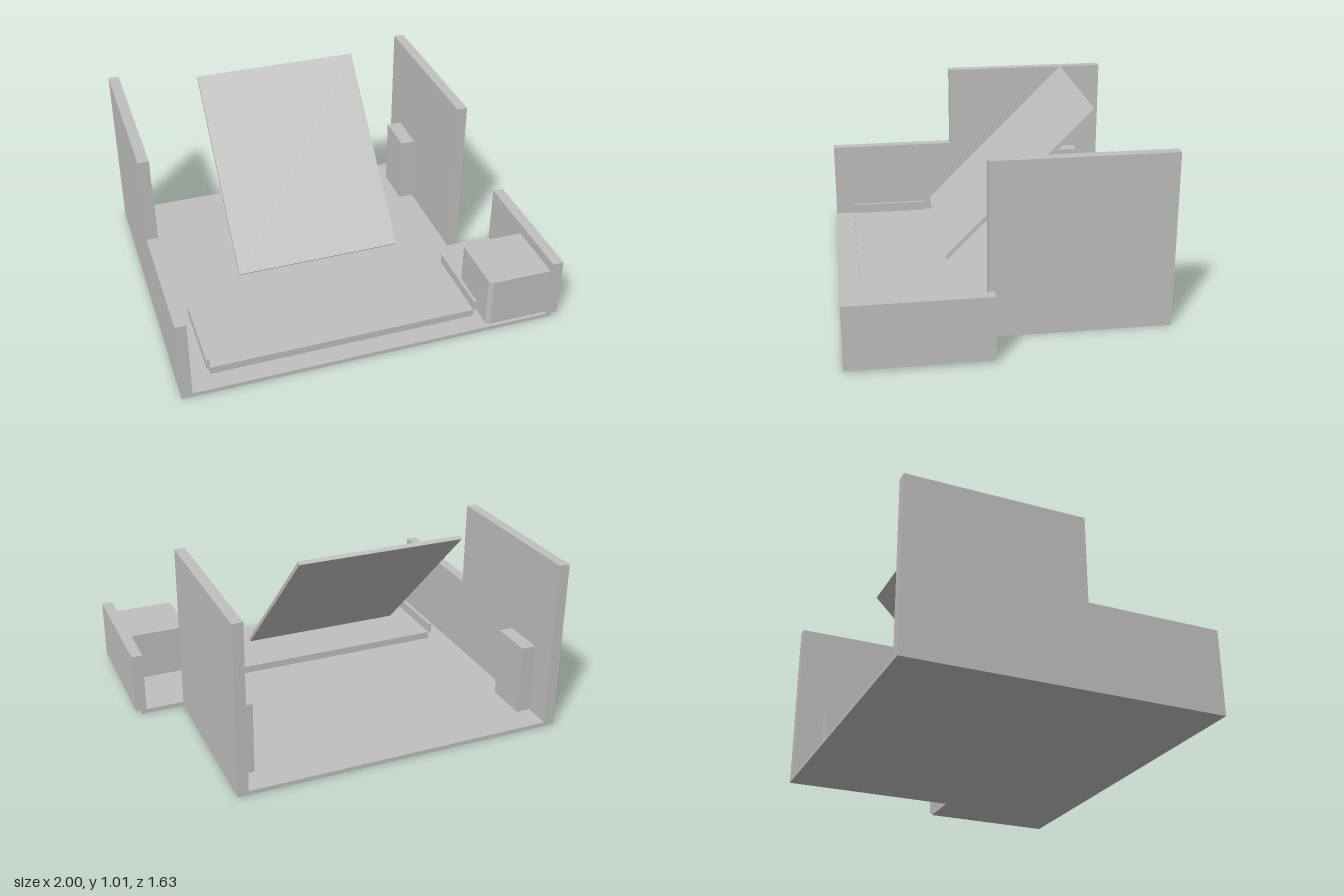
import * as THREE from 'three';

export function createModel() {
  const model = new THREE.Group();
  const grey = new THREE.MeshStandardMaterial({ color: 0xbfbfbf });
  grey.name = 'plain grey';

  function add(name, geometry) {
    const mesh = new THREE.Mesh(geometry, grey);
    mesh.name = name;
    model.add(mesh);
    return mesh;
  }

  // Box given by its limits on each axis
  function box(name, [x0, x1], [y0, y1], [z0, z1]) {
    const mesh = add(name, new THREE.BoxGeometry(x1 - x0, y1 - y0, z1 - z0));
    mesh.position.set((x0 + x1) / 2, (y0 + y1) / 2, (z0 + z1) / 2);
    return mesh;
  }

  const outline = (points) => new THREE.Shape(points.map(([a, b]) => new THREE.Vector2(a, b)));
  const extrude = (shape, depth) =>
    new THREE.ExtrudeGeometry(shape, { depth, bevelEnabled: false, curveSegments: 8 });

  const back = -0.815, step = 0.105, front = 0.815, floorTop = 0.022;

  // L-shaped floor, drawn in (x, -z) and laid flat
  add('floor', extrude(outline([
    [-0.97, -front], [0.97, -front], [0.97, -step],
    [0.72, -step], [0.72, -back], [-0.97, -back],
  ]), floorTop).rotateX(-Math.PI / 2));

  // Stepped left-hand wall, drawn in (z, y)
  const sideWall = add('steppedWall', extrude(outline([
    [back, 0], [front, 0], [front, 0.45], [step, 0.45], [step, 0.91], [back, 0.91],
  ]), 0.055).rotateY(-Math.PI / 2));
  sideWall.position.x = -0.945;

  // Opposite tall wall and the low wall beside the front bay
  box('tallWall', [0.685, 0.74], [0, 0.91], [back, step]);
  box('lowWall', [0.943, 1], [floorTop, 0.345], [step, front]);

  // Blocks against the inner faces of the tall walls
  box('wallBlock', [-0.945, -0.87], [floorTop, 0.4], [-0.67, -0.44]);
  box('wallBlock', [0.605, 0.685], [floorTop, 0.4], [-0.67, -0.44]);

  // Tray with a narrow rail along each end
  box('tray', [-0.833, 0.57], [floorTop, 0.062], [0.28, 0.71]);
  box('trayRail', [-0.85, -0.833], [0.062, 0.115], [0.28, 0.71]);
  box('trayRail', [0.568, 0.585], [0.062, 0.115], [0.28, 0.71]);

  // Corner box with rounded upright edges, set against the low wall
  const x0 = 0.606, x1 = 0.968, z0 = 0.452, z1 = 0.797, r = 0.025;
  const plan = new THREE.Shape();
  plan.absarc(x1 - r, -z0 - r, r, 0, Math.PI / 2);
  plan.absarc(x0 + r, -z0 - r, r, Math.PI / 2, Math.PI);
  plan.absarc(x0 + r, -z1 + r, r, Math.PI, Math.PI * 1.5);
  plan.absarc(x1 - r, -z1 + r, r, Math.PI * 1.5, Math.PI * 2);
  const cornerBox = add('cornerBox', extrude(plan, 0.29 - floorTop).rotateX(-Math.PI / 2));
  cornerBox.position.y = floorTop;

  // Sloping panel, low at the front and high at the back
  const panel = add('slopingPanel', new THREE.BoxGeometry(0.865, 0.02, 1.083));
  panel.position.set(-0.132, 0.62, -0.118);
  panel.rotation.x = Math.PI / 4;

  return model;
}
